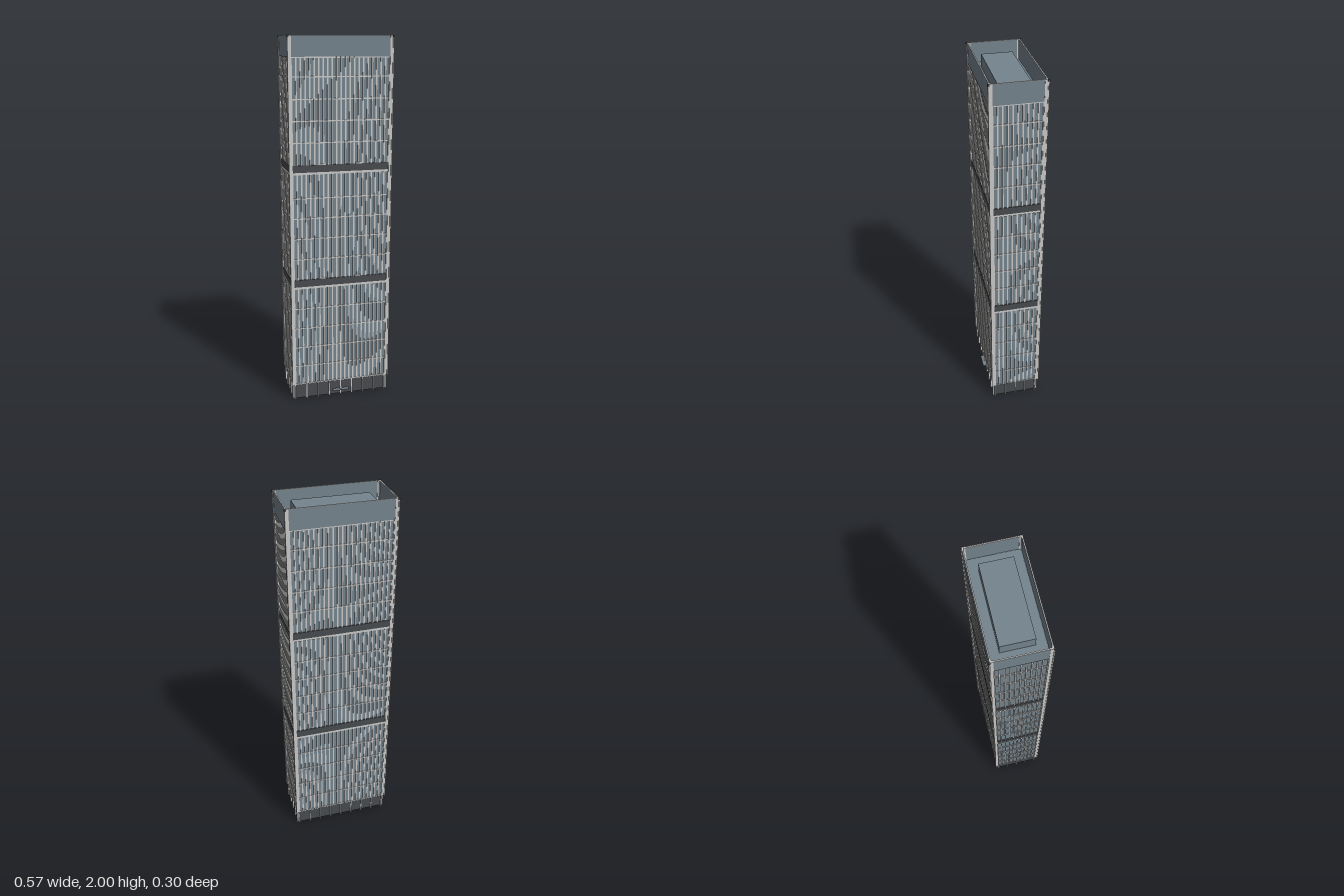
import * as THREE from 'three';

const mat = (name, color) => Object.assign(new THREE.MeshStandardMaterial({ color }), { name });

export function createModel() {
  const glass = mat('blue grey glass', 0x75848e);
  const trim = mat('pale trim', 0xcbcac9);
  const dark = mat('dark panel', 0x484b4f);

  const tower = new THREE.Group();
  tower.name = 'tower';
  const body = new THREE.Group();
  body.name = 'building';
  body.position.z = -0.005;
  tower.add(body);

  // Box spanning x0..x1, y0..y1, z0..z1
  const box = (parent, name, m, x0, x1, y0, y1, z0, z1) => {
    const mesh = new THREE.Mesh(new THREE.BoxGeometry(x1 - x0, y1 - y0, z1 - z0), m);
    mesh.position.set((x0 + x1) / 2, (y0 + y1) / 2, (z0 + z1) / 2);
    mesh.name = name;
    parent.add(mesh);
  };

  // Core, base and roof
  box(body, 'glassCore', glass, -0.271, 0.271, 0.088, 1.895, -0.131, 0.131);
  box(body, 'baseHall', dark, -0.268, 0.268, 0.003, 0.088, -0.128, 0.128);
  box(body, 'underside', trim, -0.25, 0.25, 0, 0.004, -0.112, 0.112);
  box(body, 'roofPlantRoom', glass, -0.203, 0.203, 1.89, 1.962, -0.081, 0.081);

  // Three glazed tiers with their floor lines
  const tiers = [
    { y0: 0.088, y1: 0.665, lines: [0.091, 0.2, 0.312, 0.425, 0.54] },
    { y0: 0.708, y1: 1.297, lines: [0.823, 0.938, 1.05, 1.16] },
    { y0: 1.338, y1: 1.895, lines: [1.455, 1.568, 1.68, 1.793, 1.89] },
  ];
  const bands = [[0.668, 0.708], [1.3, 1.338]];

  // One facade, built facing +z: hw is half the glazed width, d the outer distance
  const facade = (name, hw, d, bays, baseBays) => {
    const g = new THREE.Group();
    g.name = name;
    for (const t of tiers) {
      for (let i = 0; i <= bays; i++) {
        const x = -hw + (2 * hw * i) / bays;
        box(g, 'mullion', trim, x - 0.0035, x + 0.0035, t.y0, t.y1, d - 0.008, d - 0.002);
      }
      for (const y of t.lines) {
        box(g, 'floorLine', trim, -hw, hw, y - 0.003, y + 0.003, d - 0.008, d - 0.003);
      }
    }
    // Dark service bands over a pale sill
    for (const [y0, y1] of bands) {
      box(g, 'serviceBand', dark, -hw, hw, y0, y1, d - 0.01, d - 0.001);
      box(g, 'bandSill', trim, -hw, hw, y0 - 0.012, y0, d - 0.01, d - 0.001);
    }
    // Crown parapet with a pale coping
    const pw = hw + 0.014;
    box(g, 'parapet', glass, -pw, pw, 1.893, 1.997, d - 0.006, d);
    box(g, 'coping', trim, -pw, pw, 1.997, 1.9995, d - 0.006, d);
    // Corner pier leaves
    for (const s of [-1, 1]) {
      const a = s * hw, b = s * (hw + 0.016);
      box(g, 'cornerPier', trim, Math.min(a, b), Math.max(a, b), 0.088, 1.999, d - 0.008, d + 0.001);
    }
    // Columns at street level
    for (let i = 0; i <= baseBays; i++) {
      const x = -hw + (2 * hw * i) / baseBays;
      box(g, 'baseColumn', trim, x - 0.0035, x + 0.0035, 0, 0.088, d - 0.012, d - 0.002);
    }
    body.add(g);
    return g;
  };
  const front = facade('frontFacade', 0.262, 0.138, 22, 8);
  facade('backFacade', 0.262, 0.138, 22, 8).rotation.y = Math.PI;
  facade('leftFacade', 0.122, 0.278, 10, 4).rotation.y = Math.PI / 2;
  facade('rightFacade', 0.122, 0.278, 10, 4).rotation.y = -Math.PI / 2;

  // Slim corner posts with dark caps
  for (const sx of [-1, 1]) {
    for (const sz of [-1, 1]) {
      const x = sx * 0.2785, z = sz * 0.1395;
      box(body, 'cornerPost', trim, x - 0.003, x + 0.003, 0.088, 1.99, z - 0.003, z + 0.003);
      box(body, 'cornerCap', dark, x - 0.0045, x + 0.0045, 1.99, 2, z - 0.0045, z + 0.0045);
    }
  }

  // Small ledges above the bands
  for (const y of [0.711, 1.341]) {
    for (const x of [-0.1, 0.097]) {
      box(front, 'ledge', trim, x - 0.016, x + 0.016, y - 0.003, y + 0.003, 0.13, 0.1375);
    }
  }

  // Entrance canopy and door post
  box(body, 'entranceCanopy', glass, -0.046, 0.046, 0.031, 0.034, 0.125, 0.151);
  box(body, 'doorPost', trim, -0.006, 0.006, 0.034, 0.046, 0.127, 0.137);
  return tower;
}
